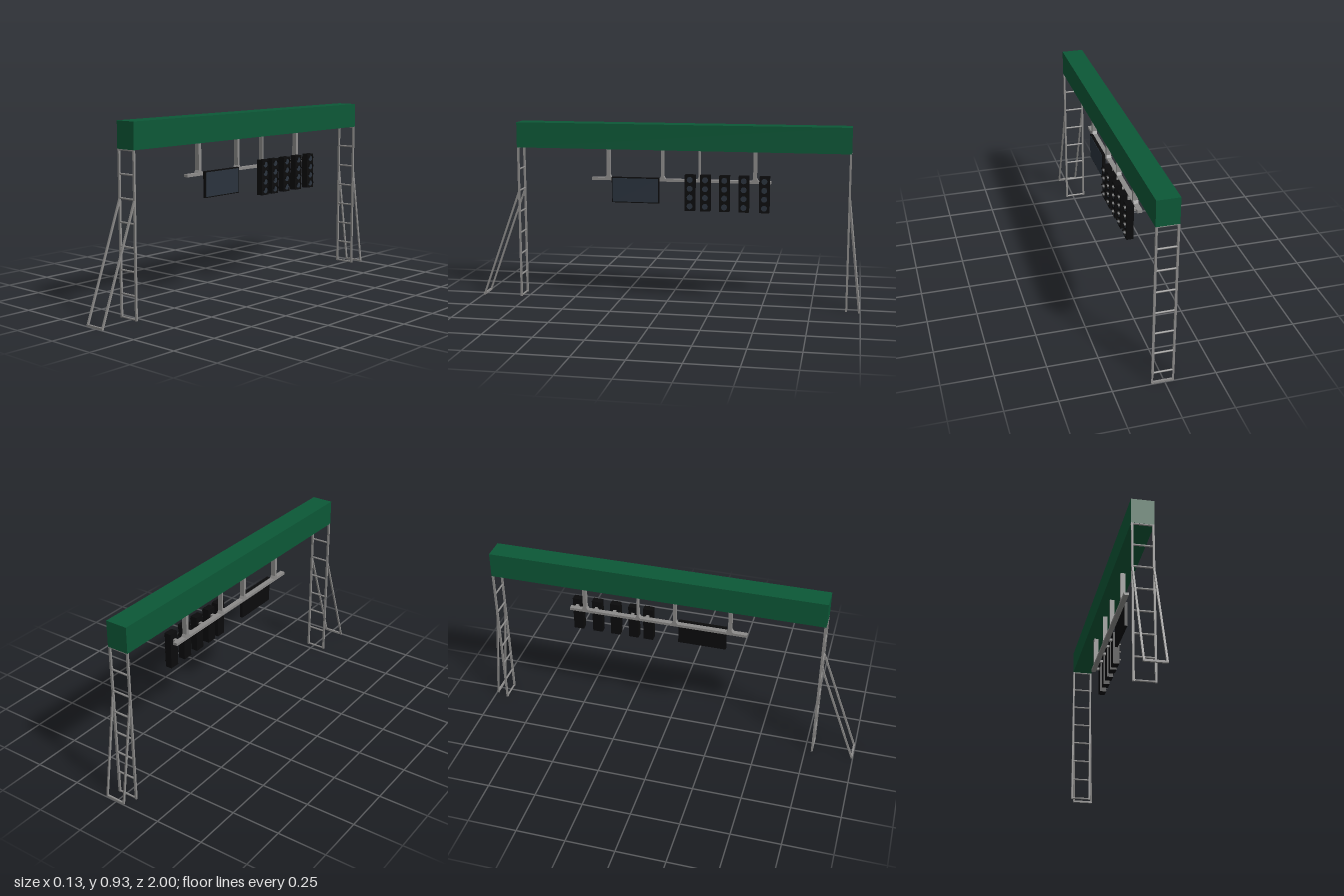
import * as THREE from 'three';

const material = (name, color) => {
  const m = new THREE.MeshStandardMaterial({ color });
  m.name = name;
  return m;
};

export function createModel() {
  const green = material('green paint', 0x0c5837);
  const steel = material('grey steel', 0x8c8b8a);
  const black = material('black housing', 0x0b0b0c);
  const slate = material('dark glass', 0x2a333d);
  const visorMat = material('black visor', 0x0b0b0c);
  visorMat.side = THREE.DoubleSide;

  const model = new THREE.Group();
  model.name = 'signalGantry';

  const add = (parent, name, geometry, mat) => {
    const mesh = new THREE.Mesh(geometry, mat);
    mesh.name = name;
    parent.add(mesh);
    return mesh;
  };
  // Box given by its limits on each axis
  const box = (parent, name, x0, x1, y0, y1, z0, z1, mat) => {
    const mesh = add(parent, name, new THREE.BoxGeometry(x1 - x0, y1 - y0, z1 - z0), mat);
    mesh.position.set((x0 + x1) / 2, (y0 + y1) / 2, (z0 + z1) / 2);
    return mesh;
  };
  // Square bar between two points
  const bar = (parent, name, a, b, size) => {
    const from = new THREE.Vector3(...a), to = new THREE.Vector3(...b);
    const mesh = add(parent, name, new THREE.BoxGeometry(size, size, from.distanceTo(to)), steel);
    mesh.position.copy(from).add(to).multiplyScalar(0.5);
    mesh.lookAt(to);
    return mesh;
  };

  // Main beam
  box(model, 'beam', -0.069, 0.043, 0.802, 0.933, -0.935, 0.791, green);

  // Ladder towers with slanted braces
  const sides = [-0.064, 0.037];
  const tower = (name, z, footZ, footShift) => {
    const group = new THREE.Group();
    group.name = name;
    model.add(group);
    for (const x of sides) {
      box(group, 'post', x - 0.005, x + 0.005, 0, 0.803, z - 0.005, z + 0.005, steel);
      bar(group, 'brace', [x, 0.57, z], [x + footShift, 0.005, footZ], 0.009);
    }
    for (let i = 0; i < 8; i++) {
      const rung = add(group, 'rung', new THREE.CylinderGeometry(0.005, 0.005, 0.101, 8), steel);
      rung.rotation.z = Math.PI / 2;
      rung.position.set(-0.0135, 0.005 + i * 0.1135, z);
    }
    bar(group, 'footBar', [sides[0] + footShift - 0.004, 0.005, footZ],
      [sides[1] + footShift + 0.004, 0.005, footZ], 0.01);
  };
  tower('frontTower', 0.786, 0.994, 0);
  tower('backTower', -0.93, -0.994, 0.022);

  // Hanging rail and its drop arms
  box(model, 'rail', -0.025, 0, 0.635, 0.649, -0.535, 0.4, steel);
  for (const [z, width] of [[0.312, 0.018], [0.026, 0.014], [-0.168, 0.009], [-0.453, 0.018]]) {
    const h = width / 2;
    const outline = new THREE.Shape([
      [-h - 0.009, 0.648], [h + 0.009, 0.648], [h, 0.663], [h, 0.803], [-h, 0.803], [-h, 0.663],
    ].map(([u, v]) => new THREE.Vector2(u, v)));
    const arm = add(model, 'dropArm',
      new THREE.ExtrudeGeometry(outline, { depth: 0.025, bevelEnabled: false }), steel);
    arm.rotation.y = Math.PI / 2;
    arm.position.set(-0.025, 0, z);
  }

  // Display board
  const board = new THREE.Group();
  board.name = 'displayBoard';
  model.add(board);
  box(board, 'boardHousing', 0, 0.015, 0.522, 0.655, 0.04, 0.29, black);
  box(board, 'boardScreen', 0.014, 0.017, 0.527, 0.65, 0.045, 0.285, slate);

  // Signal lights, each with four hooded lenses facing +x
  for (const z of [-0.126, -0.205, -0.303, -0.402, -0.506]) {
    const light = new THREE.Group();
    light.name = 'signalLight';
    light.position.z = z;
    model.add(light);
    box(light, 'lightHousing', 0.017, 0.052, 0.495, 0.68, -0.026, 0.026, black);
    box(light, 'lightBracket', -0.002, 0.018, 0.636, 0.648, -0.008, 0.008, steel);
    for (let i = 0; i < 4; i++) {
      const y = 0.519 + i * 0.0455;
      const lens = add(light, 'lens', new THREE.CylinderGeometry(0.015, 0.015, 0.003, 16), slate);
      lens.rotation.z = -Math.PI / 2;
      lens.position.set(0.053, y, 0);
      // Hood covers the upper part of the lens
      const visor = add(light, 'visor',
        new THREE.CylinderGeometry(0.018, 0.018, 0.011, 16, 1, true, Math.PI, Math.PI), visorMat);
      visor.rotation.z = -Math.PI / 2;
      visor.position.set(0.0565, y, 0);
    }
  }

  return model;
}
